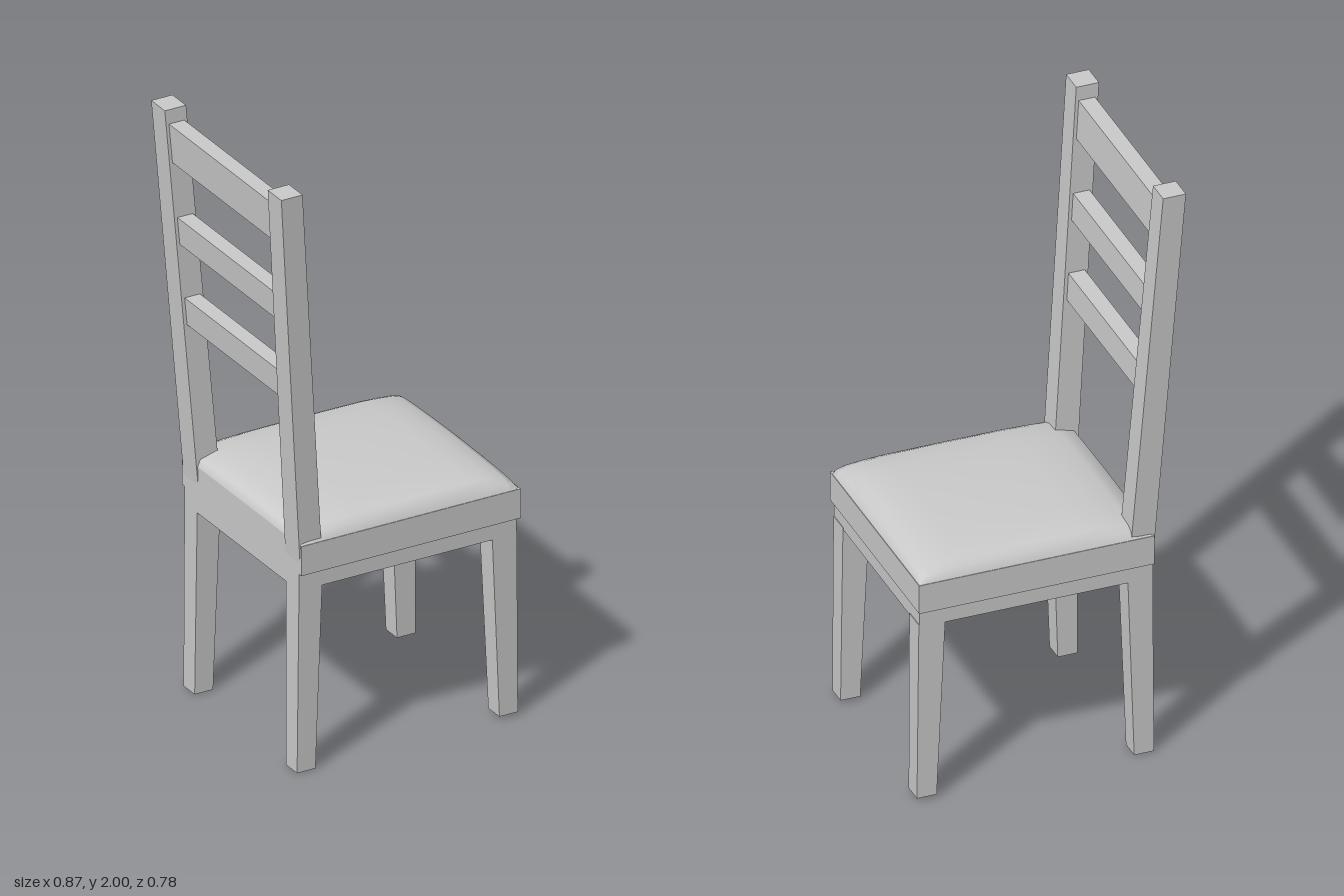
import * as THREE from 'three';

const material = new THREE.MeshStandardMaterial({ color: 0xcccccc });

// Four-sided bar between two level rectangles, each [x0, x1, z0, z1, y]
function bar(name, bottom, top) {
  const geometry = new THREE.BoxGeometry(1, 1, 1);
  const p = geometry.attributes.position;
  for (let i = 0; i < p.count; i++) {
    const r = p.getY(i) > 0 ? top : bottom;
    p.setXYZ(i, p.getX(i) > 0 ? r[1] : r[0], r[4], p.getZ(i) > 0 ? r[3] : r[2]);
  }
  geometry.computeVertexNormals();
  const mesh = new THREE.Mesh(geometry, material);
  mesh.name = name;
  return mesh;
}

// Same bar on the opposite side of the chair
const flip = ([x0, x1, z0, z1, y]) => [x0, x1, -z1, -z0, y];
function pair(group, name, bottom, top) {
  group.add(bar(name + 'A', bottom, top), bar(name + 'B', flip(bottom), flip(top)));
}

// Domed upholstery: product of a lengthwise and a crosswise height profile
function cushion() {
  const along = [[-0.345, 0], [-0.335, 0.45], [-0.28, 0.74], [-0.2, 0.88], [-0.12, 0.97], [0.08, 1],
    [0.27, 0.97], [0.34, 0.85], [0.39, 0.69], [0.415, 0.45], [0.428, 0]];
  const half = [[0, 1], [0.16, 0.93], [0.25, 0.84], [0.32, 0.7], [0.345, 0.5], [0.358, 0]];
  const across = [...half.slice(1).reverse().map(([z, h]) => [-z, h]), ...half];
  const geometry = new THREE.PlaneGeometry(1, 1, along.length - 1, across.length - 1);
  geometry.rotateX(-Math.PI / 2);
  const p = geometry.attributes.position;
  for (let i = 0; i < p.count; i++) {
    const [x, hx] = along[i % along.length];
    const [z, hz] = across[Math.floor(i / along.length)];
    p.setXYZ(i, x, 0.78 + 0.063 * hx * hz, z);
  }
  geometry.computeVertexNormals();
  const mesh = new THREE.Mesh(geometry, material);
  mesh.name = 'cushion';
  return mesh;
}

export function createModel() {
  const chair = new THREE.Group();
  chair.name = 'chair';

  // Tapered legs
  pair(chair, 'frontLeg', [0.365, 0.43, 0.275, 0.342, 0.01], [0.338, 0.425, 0.268, 0.345, 0.63]);
  pair(chair, 'backLeg', [-0.35, -0.285, 0.275, 0.342, 0], [-0.345, -0.263, 0.268, 0.345, 0.63]);

  // Apron and the wider seat block above it
  const apron = [-0.345, 0.423, -0.345, 0.345];
  chair.add(bar('apron', [...apron, 0.622], [...apron, 0.685]));
  const seat = [-0.345, 0.43, -0.36, 0.36];
  chair.add(bar('seat', [...seat, 0.68], [...seat, 0.78]));
  chair.add(cushion());

  // Back posts lean backwards and splay outwards
  pair(chair, 'backPost', [-0.343, -0.265, 0.262, 0.35, 0.69], [-0.435, -0.36, 0.31, 0.392, 2]);

  // Ladder slats follow the lean of the posts
  const slatAt = (y) => {
    const x = -0.304 - 0.0715 * (y - 0.69);
    const z = 0.27 + 0.0366 * (y - 0.69);
    return [x - 0.027, x + 0.027, -z, z, y];
  };
  [[1.265, 1.357], [1.54, 1.632], [1.82, 1.952]].forEach(([y0, y1], i) => {
    chair.add(bar('backSlat' + (i + 1), slatAt(y0), slatAt(y1)));
  });
  return chair;
}
